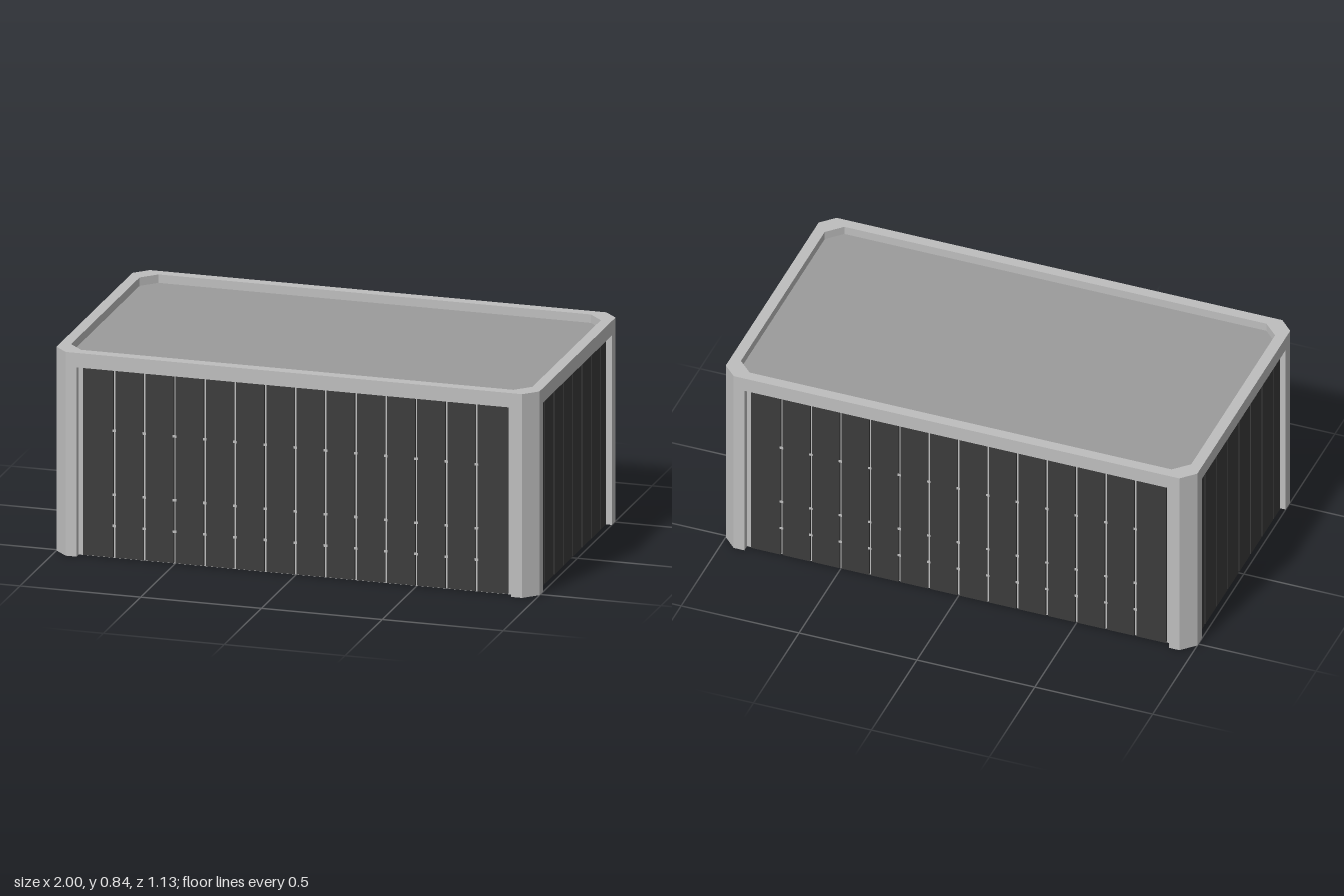
import * as THREE from 'three';

const HX = 1, HZ = 0.565, HEIGHT = 0.845;    // outer half sizes and height
const OPEN_X = 0.9, OPEN_Z = 0.46;           // half widths of the wall openings
const LINTEL = 0.785, ROOF = 0.81;
const RECESS = 0.03, BOARD = 0.01, GAP = 0.009, PITCH = 0.125;

const frameMat = new THREE.MeshStandardMaterial({ color: 0xbebebe });
frameMat.name = 'light grey frame';
const roofMat = new THREE.MeshStandardMaterial({ color: 0x9b9b9b });
roofMat.name = 'mid grey roof';
const boardMat = new THREE.MeshStandardMaterial({ color: 0x3b3b3b });
boardMat.name = 'charcoal cladding';

// Mirror the points of one corner into a closed plan outline
function mirroredPlan(corner) {
  const back = [...corner].reverse();
  return [
    ...corner,
    ...back.map(([x, z]) => [-x, z]),
    ...corner.map(([x, z]) => [-x, -z]),
    ...back.map(([x, z]) => [x, -z]),
  ].map(([x, z]) => new THREE.Vector2(x, z));
}

// Raise a plan outline from y0 to y1
function prism(name, plan, hole, y0, y1, material) {
  const shape = new THREE.Shape(plan);
  if (hole) shape.holes.push(new THREE.Path(hole));
  const geo = new THREE.ExtrudeGeometry(shape, { depth: y1 - y0, bevelEnabled: false });
  geo.rotateX(-Math.PI / 2).translate(0, y0, 0);
  const mesh = new THREE.Mesh(geo, material);
  mesh.name = name;
  return mesh;
}

// One clad wall facing +z: upright boards with light gaps and small fixings
function cladWall(name, halfWidth, distance, fixings) {
  const wall = new THREE.Group();
  wall.name = name;
  const n = Math.floor(halfWidth / PITCH - 0.1);
  const seams = [];
  for (let i = -n; i <= n; i++) seams.push(i * PITCH);
  const edges = [-halfWidth - GAP / 2, ...seams, halfWidth + GAP / 2];
  const h = LINTEL - 0.005;
  for (let i = 0; i < edges.length - 1; i++) {
    const w = edges[i + 1] - edges[i] - GAP;
    const board = new THREE.Mesh(new THREE.BoxGeometry(w, h, BOARD), boardMat);
    board.name = 'claddingBoard';
    board.position.set((edges[i] + edges[i + 1]) / 2, 0.004 + h / 2, distance + BOARD / 2);
    wall.add(board);
  }
  if (fixings) {
    for (const x of seams) for (const y of [0.135, 0.265, 0.53]) {
      const clip = new THREE.Mesh(new THREE.BoxGeometry(0.015, 0.01, 0.002), frameMat);
      clip.name = 'boardClip';
      clip.position.set(x, y, distance + BOARD);
      wall.add(clip);
    }
  }
  return wall;
}

export function createModel() {
  const model = new THREE.Group();
  model.name = 'cladCabin';

  // Walls and chamfered corner posts share one plan
  const bodyPlan = mirroredPlan([
    [HX - RECESS, OPEN_Z], [HX, OPEN_Z], [HX, 0.51],
    [0.945, HZ], [OPEN_X, HZ], [OPEN_X, HZ - RECESS],
  ]);
  model.add(prism('wallsAndCornerPosts', bodyPlan, null, 0, LINTEL, frameMat));

  // Raised rim around the sunken roof
  const rimPlan = mirroredPlan([[HX, 0.51], [0.945, HZ]]);
  const roofPlan = mirroredPlan([[0.955, 0.46], [0.895, 0.52]]);
  model.add(prism('roofRim', rimPlan, roofPlan, LINTEL, HEIGHT, frameMat));
  model.add(prism('roof', roofPlan, null, LINTEL, ROOF, roofMat));

  // Cladding on all four sides
  const sides = [['front', 0], ['left', 1], ['back', 2], ['right', 3]];
  for (const [side, turn] of sides) {
    const long = turn % 2 === 0;
    const wall = cladWall(side + 'Cladding', long ? 0.88 : 0.448,
      (long ? HZ : HX) - RECESS, long);
    wall.rotation.y = turn * Math.PI / 2;
    model.add(wall);
  }
  return model;
}
